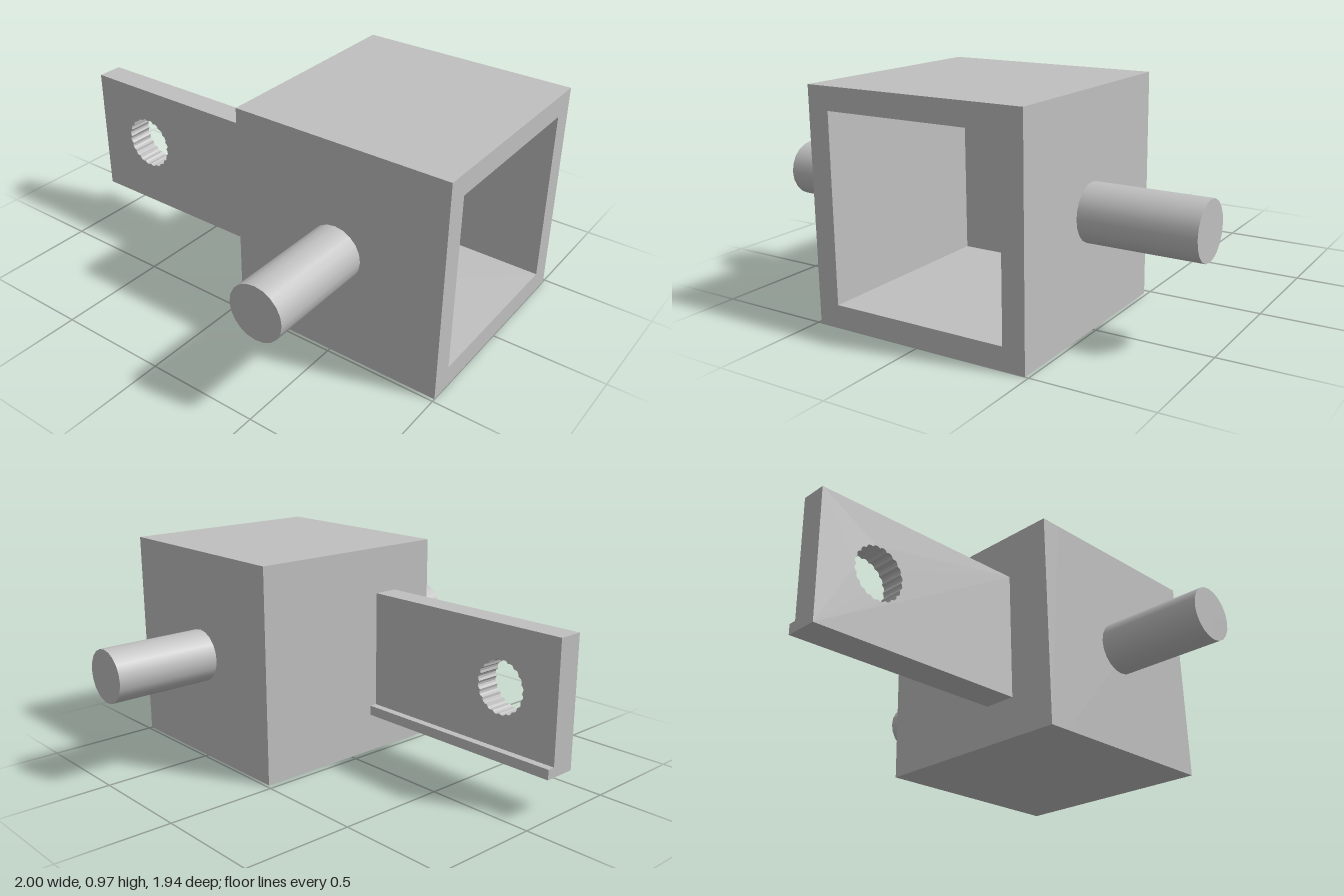
import * as THREE from 'three';

// Closed rectangular outline
function rect(Type, x0, y0, x1, y1) {
  const s = new Type();
  s.moveTo(x0, y0);
  s.lineTo(x1, y0);
  s.lineTo(x1, y1);
  s.lineTo(x0, y1);
  s.closePath();
  return s;
}

export function createModel() {
  const group = new THREE.Group();
  const gray = new THREE.MeshStandardMaterial({ color: 0xc0c0c0 });
  gray.name = 'plain gray';

  const add = (name, geometry, x = 0, y = 0, z = 0) => {
    const mesh = new THREE.Mesh(geometry, gray);
    mesh.name = name;
    mesh.position.set(x, y, z);
    group.add(mesh);
    return mesh;
  };

  const H = 0.97, half = H / 2, wall = 0.095;
  const rodX = 0.515, rodR = 0.12;

  // Square housing, open on the +x side
  const ring = rect(THREE.Shape, -half, 0, half, H);
  ring.holes.push(rect(THREE.Path, -half + wall, wall, half - wall, H - wall));
  const sleeve = new THREE.ExtrudeGeometry(ring, { depth: H - wall, bevelEnabled: false });
  sleeve.rotateY(Math.PI / 2);
  add('housingWalls', sleeve, 0.03 + wall, 0, 0);
  add('housingEndWall', new THREE.BoxGeometry(wall, H, H), 0.03 + wall / 2, half, 0);

  // Round pivot rods on the front and back
  for (const side of [1, -1]) {
    const rod = new THREE.CylinderGeometry(rodR, rodR, 0.53, 20);
    rod.rotateX(Math.PI / 2);
    add(side > 0 ? 'frontRod' : 'backRod', rod, rodX, half + 0.003, side * 0.705);
  }

  // Small pin end inside the back wall
  const pin = new THREE.CylinderGeometry(0.04, 0.04, 0.03, 12);
  pin.rotateX(Math.PI / 2);
  add('innerPin', pin, rodX, half, -half + wall);

  // Side plate with a scalloped hole
  const plate = rect(THREE.Shape, -1, 0.18, 0.03, 0.76);
  const lobes = 20, steps = 4, points = [];
  for (let i = 0; i < lobes * steps; i++) {
    const a = (i / (lobes * steps)) * Math.PI * 2;
    const r = 0.113 + 0.008 * Math.abs(Math.sin((a * lobes) / 2));
    points.push(new THREE.Vector2(-0.71 + r * Math.cos(a), 0.49 + r * Math.sin(a)));
  }
  plate.holes.push(new THREE.Path(points));
  add('sidePlate', new THREE.ExtrudeGeometry(plate, { depth: 0.115, bevelEnabled: false }), 0, 0, 0.155);

  // Narrow ledge along the plate's lower back edge
  add('plateLedge', new THREE.BoxGeometry(1.03, 0.045, 0.035), -0.485, 0.2025, 0.1375);

  return group;
}
